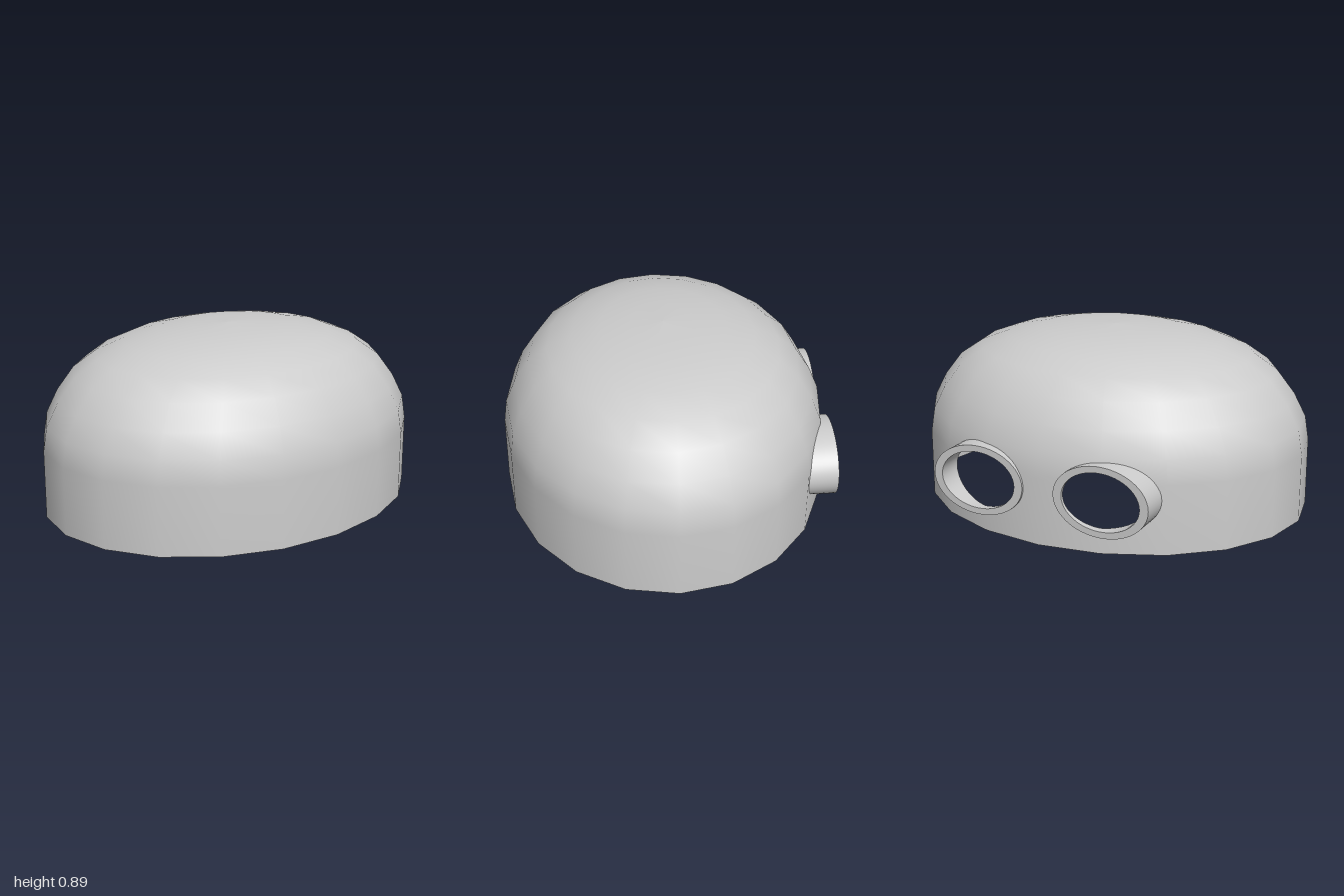
import * as THREE from 'three';
import { toCreasedNormals } from 'three/addons/utils/BufferGeometryUtils.js';

const SEGMENTS = 20;      // sides of the dome
const DEPTH = 0.815;      // z radius relative to the x radius
const STEP = (2 * Math.PI) / SEGMENTS;
// dome profile: radius, height
const PROFILE = [[1, 0], [1, 0.34], [0.98, 0.46], [0.92, 0.575], [0.83, 0.69], [0.71, 0.77],
  [0.56, 0.828], [0.385, 0.864], [0.195, 0.88], [0, 0.888]];
// ports at the back
const PORT = { x: 0.323, y: 0.268, rx: 0.242, ry: 0.172, bore: 0.82 };

// point on the faceted back wall, for heights within the two lowest rows
function backZ(x, y) {
  const [[r0, y0], [r1, y1]] = y > PROFILE[1][1] ? PROFILE.slice(1, 3) : PROFILE.slice(0, 2);
  const r = THREE.MathUtils.lerp(r0, r1, (y - y0) / (y1 - y0));
  const q = Math.abs(x) / r;
  const k = Math.floor(Math.asin(Math.min(q, 1)) / STEP + 1e-6);
  const a = k * STEP, b = a + STEP;
  const t = (q - Math.sin(a)) / (Math.sin(b) - Math.sin(a));
  return -r * DEPTH * THREE.MathUtils.lerp(Math.cos(a), Math.cos(b), t);
}

// surface through closed rings of equal length
function loft(rings, flip) {
  const n = rings[0].length, index = [];
  for (let k = 0; k < rings.length - 1; k++) {
    for (let j = 0; j < n; j++) {
      const a = k * n + j, b = k * n + (j + 1) % n, c = a + n, d = b + n;
      index.push(...(flip ? [a, c, b, b, c, d] : [a, b, c, b, d, c]));
    }
  }
  const geo = new THREE.BufferGeometry();
  geo.setAttribute('position', new THREE.Float32BufferAttribute(rings.flat(2), 3));
  geo.setIndex(index);
  geo.computeVertexNormals();
  return geo;
}

// outline of the wall patch that surrounds one port
const EDGE = Math.sin(2 * STEP);
const CORNERS = [[0, 0], [EDGE, 0], [EDGE, PROFILE[1][1]], [EDGE * PROFILE[2][0], PROFILE[2][1]], [0, PROFILE[2][1]]];

// where a ray from the port centre meets the outline
function outlinePoint(angle) {
  const dx = Math.cos(angle), dy = Math.sin(angle);
  let best = Infinity;
  CORNERS.forEach(([ax, ay], i) => {
    const [bx, by] = CORNERS[(i + 1) % CORNERS.length];
    const ex = bx - ax, ey = by - ay, det = dx * ey - dy * ex;
    if (Math.abs(det) < 1e-9) return;
    const t = ((ax - PORT.x) * ey - (ay - PORT.y) * ex) / det;
    if (t > 0) best = Math.min(best, t);
  });
  return [PORT.x + best * dx, PORT.y + best * dy];
}

function ellipsePoint(angle, scale) {
  const rx = PORT.rx * scale, ry = PORT.ry * scale;
  const t = 1 / Math.hypot(Math.cos(angle) / rx, Math.sin(angle) / ry);
  return [PORT.x + t * Math.cos(angle), PORT.y + t * Math.sin(angle)];
}

export function createModel() {
  const model = new THREE.Group();
  const material = new THREE.MeshStandardMaterial({ color: 0xcccccc, side: THREE.DoubleSide });
  const add = (geo, name) => {
    const mesh = new THREE.Mesh(geo, material);
    mesh.name = name;
    model.add(mesh);
  };

  // open dome shell, leaving out the back cells that hold the ports
  const dome = new THREE.LatheGeometry(PROFILE.map(([r, y]) => new THREE.Vector2(r, y)), SEGMENTS);
  const rows = PROFILE.length - 1, normals = dome.attributes.normal;
  const rowNormals = [0, 1, 2].map(j => [Math.hypot(normals.getX(j), normals.getZ(j)), normals.getY(j)]);
  dome.setIndex(Array.from(dome.index.array).filter((_, i) => {
    const cell = Math.floor(i / 6), column = Math.floor(cell / rows);
    return !(column >= 8 && column <= 11 && cell % rows < 2);
  }));
  dome.scale(1, 1, DEPTH);
  add(dome, 'domeShell');

  // evenly spaced directions around a port, plus those of the patch corners
  const even = Array.from({ length: 64 }, (_, i) => (i / 64) * 2 * Math.PI);
  const angles = even.concat(CORNERS.map(([x, y]) =>
    (Math.atan2(y - PORT.y, x - PORT.x) + 2 * Math.PI) % (2 * Math.PI))).sort((a, b) => a - b);

  for (const side of [1, -1]) {
    const label = side > 0 ? 'left' : 'right';
    const onWall = ([x, y]) => [side * x, y, backZ(x, y)];

    // back wall with the port opening
    const rings = [];
    for (let k = 0; k <= 6; k++) {
      rings.push(angles.map(a => {
        const p = ellipsePoint(a, PORT.bore), q = outlinePoint(a);
        return onWall([0, 1].map(i => THREE.MathUtils.lerp(p[i], q[i], k / 6)));
      }));
    }
    const wall = loft(rings, side < 0);
    const pos = wall.attributes.position;
    // shade the wall as part of the smooth dome
    for (let i = 0; i < pos.count; i++) {
      const y = pos.getY(i), j = y > PROFILE[1][1] ? 1 : 0;
      const t = (y - PROFILE[j][1]) / (PROFILE[j + 1][1] - PROFILE[j][1]);
      const [nr, ny] = [0, 1].map(c => THREE.MathUtils.lerp(rowNormals[j][c], rowNormals[j + 1][c], t));
      const phi = Math.atan2(pos.getX(i), -pos.getZ(i) / DEPTH);
      const n = new THREE.Vector3(nr * Math.sin(phi), ny, -nr * Math.cos(phi) / DEPTH).normalize();
      wall.attributes.normal.setXYZ(i, n.x, n.y, n.z);
    }
    add(wall, label + 'BackWall');

    // hollow oval port: bore, end face and outer wall
    const atEnd = ([x, y]) => [side * x, y, -DEPTH];
    const port = loft([
      even.map(a => onWall(ellipsePoint(a, PORT.bore))),
      even.map(a => atEnd(ellipsePoint(a, PORT.bore))),
      even.map(a => atEnd(ellipsePoint(a, 1))),
      even.map(a => onWall(ellipsePoint(a, 1))),
    ], side < 0);
    add(toCreasedNormals(port, 0.7), label + 'Port');
  }
  return model;
}
